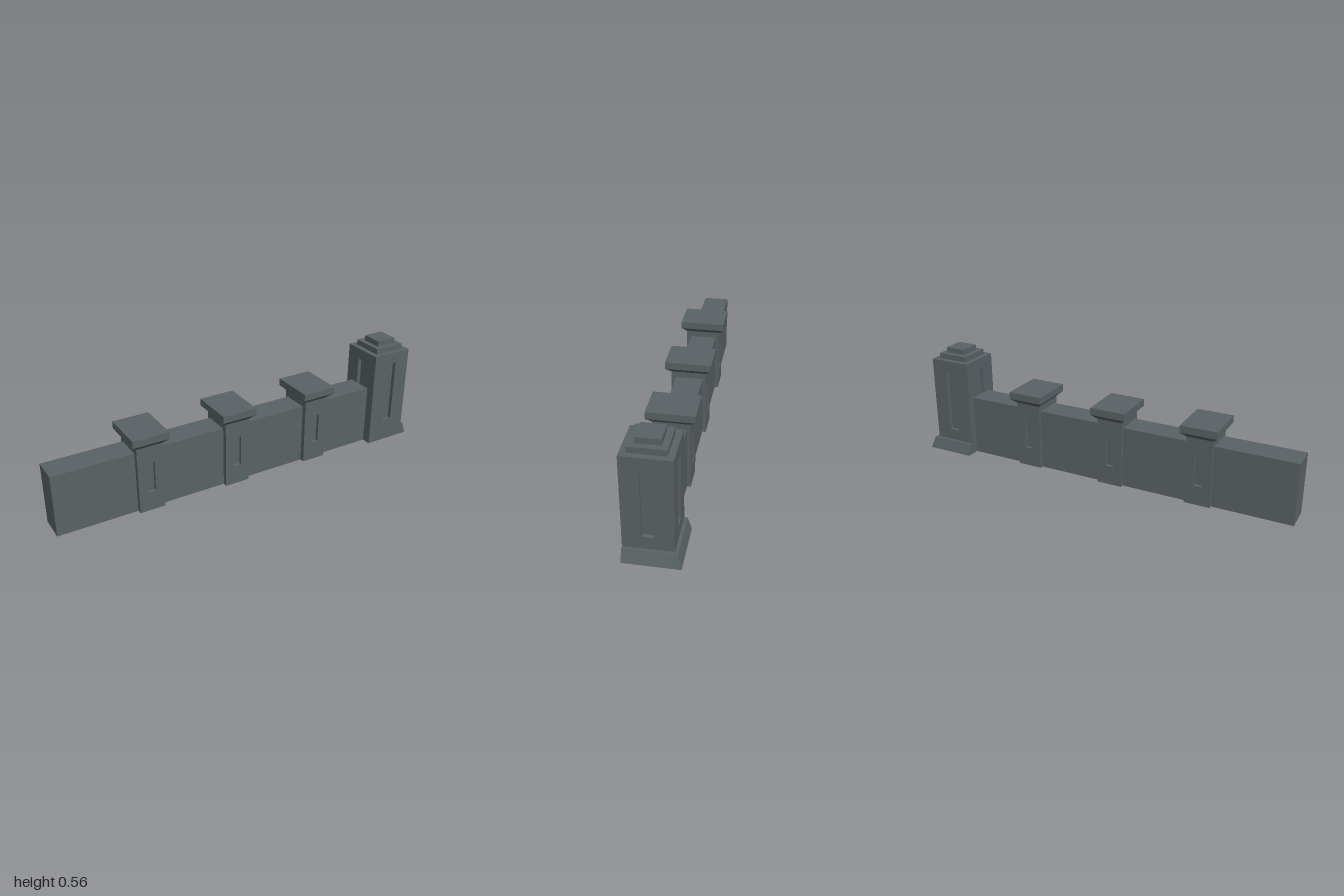
import * as THREE from 'three';

const stone = new THREE.MeshStandardMaterial({ color: 0x5a6265, side: THREE.DoubleSide });
stone.name = 'grey stone';

// Box face order used by BoxGeometry
const FACES = ['px', 'nx', 'py', 'ny', 'pz', 'nz'];

// Box standing on y = 0 with some faces left open
function openBox(w, h, d, skip = []) {
  const g = new THREE.BoxGeometry(w, h, d).translate(0, h / 2, 0);
  const index = Array.from(g.index.array);
  g.setIndex(index.filter((_, i) => !skip.includes(FACES[Math.floor(i / 6)])));
  g.clearGroups();
  return g;
}

function add(parent, name, geometry, x = 0, y = 0, z = 0) {
  const m = new THREE.Mesh(geometry, stone);
  m.name = name;
  m.position.set(x, y, z);
  parent.add(m);
  return m;
}

// Upright face on z = 0, optionally with a sunken panel { w, y0, y1, depth }
function panelFace(w, h, panel) {
  const face = new THREE.Group();
  face.name = 'shaftFace';
  const s = new THREE.Shape([[-w / 2, 0], [w / 2, 0], [w / 2, h], [-w / 2, h]]
    .map(p => new THREE.Vector2(...p)));
  if (panel) {
    const { w: pw, y0, y1, depth } = panel;
    s.holes.push(new THREE.Path([[-pw / 2, y0], [-pw / 2, y1], [pw / 2, y1], [pw / 2, y0]]
      .map(p => new THREE.Vector2(...p))));
    add(face, 'sunkenPanel', openBox(pw, y1 - y0, depth, ['pz']), 0, y0, -depth / 2);
  }
  add(face, 'face', new THREE.ShapeGeometry(s));
  return face;
}

// Hollow four-sided shaft; side panels are optional
function shaft(w, d, h, panel, sidePanels) {
  const g = new THREE.Group();
  g.name = 'shaft';
  for (let i = 0; i < 4; i++) {
    const side = i % 2 === 1;
    const f = panelFace(side ? d : w, h, side && !sidePanels ? null : panel);
    const a = i * Math.PI / 2, r = (side ? w : d) / 2;
    f.rotation.y = a;
    f.position.set(Math.sin(a) * r, 0, Math.cos(a) * r);
    g.add(f);
  }
  return g;
}

// Small wall post with a flared cap
function wallPost(x) {
  const g = new THREE.Group();
  g.name = 'wallPost';
  g.position.set(x, 0, 0.014);
  const w = 0.13, d = 0.176, capW = 0.182, capD = 0.228;
  g.add(shaft(w, d, 0.343, { w: 0.042, y0: 0.1, y1: 0.255, depth: 0.015 }, false));
  const flare = openBox(capW, 0.025, capD, ['py', 'ny']);
  const p = flare.attributes.position;
  for (let i = 0; i < p.count; i++) {
    if (p.getY(i) < 0.01) p.setXYZ(i, Math.sign(p.getX(i)) * w / 2, 0, Math.sign(p.getZ(i)) * d / 2);
  }
  flare.computeVertexNormals();
  add(g, 'capFlare', flare, 0, 0.343, 0);
  add(g, 'cap', openBox(capW, 0.036, capD), 0, 0.368, 0);
  return g;
}

// Sloping skirt around the outer (+x) and back (-z) sides of the end pillar
function skirtGeometry(x0, x1, z0, z1, h, topOut, bottomOutX, bottomOutZ) {
  // three corners of the run, each with inner, upper and lower points
  const run = (ox, oz, y) => [[x0, y, z0 - oz], [x1 + ox, y, z0 - oz], [x1 + ox, y, z1]];
  const floor = run(0, 0, 0), inner = run(0, 0, h);
  const upper = run(topOut, topOut, h), lower = run(bottomOutX, bottomOutZ, 0);
  const pos = [];
  const quad = (a, b, c, d) => pos.push(...a, ...b, ...c, ...a, ...c, ...d);
  for (let i = 0; i < 2; i++) {
    quad(inner[i], inner[i + 1], upper[i + 1], upper[i]);
    quad(upper[i], upper[i + 1], lower[i + 1], lower[i]);
  }
  quad(floor[0], inner[0], upper[0], lower[0]);
  quad(lower[2], upper[2], inner[2], floor[2]);
  const g = new THREE.BufferGeometry();
  g.setAttribute('position', new THREE.Float32BufferAttribute(pos, 3));
  g.computeVertexNormals();
  return g;
}

export function createModel() {
  const model = new THREE.Group();
  model.name = 'wallWithPillar';

  // Long plain wall, open underneath
  add(model, 'wall', openBox(1.745, 0.312, 0.134, ['ny', 'px']), -0.1275, 0, 0.011);
  for (const x of [-0.538, -0.074, 0.391]) model.add(wallPost(x));

  // Tall end pillar with panels on every side and a stepped top
  const pillar = new THREE.Group();
  pillar.name = 'endPillar';
  pillar.position.set(0.855, 0, 0.0155);
  pillar.add(shaft(0.22, 0.22, 0.508, { w: 0.056, y0: 0.12, y1: 0.45, depth: 0.02 }, true));
  add(pillar, 'pillarTop', new THREE.PlaneGeometry(0.22, 0.22).rotateX(-Math.PI / 2), 0, 0.508, 0);
  add(pillar, 'lowerStep', openBox(0.164, 0.028, 0.164, ['ny']), 0, 0.508, 0);
  add(pillar, 'upperStep', openBox(0.108, 0.028, 0.108, ['ny']), 0, 0.536, 0);
  add(pillar, 'baseSkirt', skirtGeometry(-0.11, 0.11, -0.11, 0.11, 0.06, 0.015, 0.035, 0.033));
  model.add(pillar);
  return model;
}
